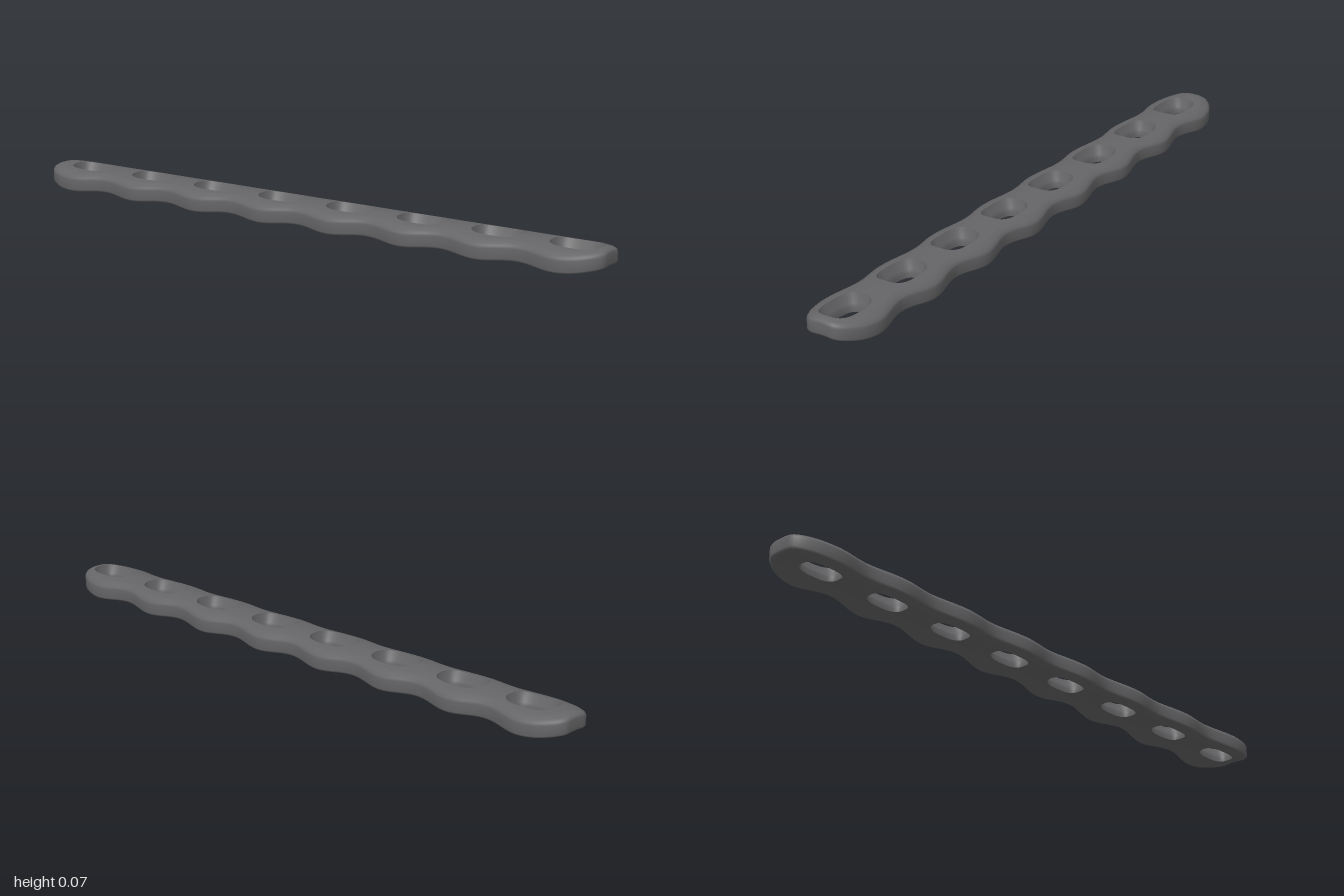
import * as THREE from 'three';
import { mergeVertices } from 'three/addons/utils/BufferGeometryUtils.js';

const HOLES = 8, PITCH = 2 / HOLES, SLOT_SHIFT = 0.022;
const EDGE = 28, SIDE = 12; // points along a scalloped edge and across the plate

// Arched cross-section
const top = z => 0.07 - 2 * z * z;
const bottom = z => 0.017 - 2.1 * z * z;

// Half width: a scallop round each hole, with rounded corners at both ends
function halfWidth(x) {
  const t = Math.min(1, Math.max(0, (Math.abs(x) - 0.92) / 0.08));
  return 0.09 - 0.01 * Math.cos((2 * Math.PI * x) / PITCH) - 0.05 * (1 - Math.sqrt(1 - t * t));
}

// Outline of one cell of the plate, counter-clockwise from above, inset by d
function outline(cell, d) {
  const x0 = -1 + cell * PITCH, x1 = x0 + PITCH;
  const a = cell === 0 ? x0 + d : x0;
  const b = cell === HOLES - 1 ? x1 - d : x1;
  const pts = [];
  const edge = (k, s) => {
    const u = (1 - Math.cos((Math.PI * k) / EDGE)) / 2;
    pts.push([a + (b - a) * u, s * (halfWidth(x0 + PITCH * u) - d)]);
  };
  const side = (x, xw, s) => {
    for (let k = 0; k < SIDE; k++) pts.push([x, s * (1 - (2 * k) / SIDE) * (halfWidth(xw) - d)]);
  };
  for (let k = 0; k < EDGE; k++) edge(k, 1);
  side(b, x1, 1);
  for (let k = EDGE; k > 0; k--) edge(k, -1);
  side(a, x0, -1);
  return pts;
}

// Rounded slot whose points line up with those of the outline
function slot(cell, length, width) {
  const cx = -1 + (cell + 0.5) * PITCH;
  const soft = v => Math.sign(v) * Math.pow(Math.abs(v), 0.7);
  return outline(cell, 0).map(([x, z]) => {
    const phi = Math.atan2(z / 0.08, (x - cx) / 0.125);
    return [cx + SLOT_SHIFT + length * soft(Math.cos(phi)), width * soft(Math.sin(phi))];
  });
}

const lift = (pts, y) => pts.map(([x, z]) => [x, y(z), z]);
const blend = (p, q, t) => p.map((v, i) => [v[0] + (q[i][0] - v[0]) * t, v[1] + (q[i][1] - v[1]) * t]);

// Joins successive closed rings with quads
function skin(out, rings, keep = () => true) {
  for (let r = 0; r + 1 < rings.length; r++) {
    const p = rings[r], q = rings[r + 1], n = p.length;
    for (let i = 0; i < n; i++) {
      if (!keep(i)) continue;
      const j = (i + 1) % n;
      out.push(...p[i], ...p[j], ...q[j], ...p[i], ...q[j], ...q[i]);
    }
  }
}

function smoothGeometry(positions) {
  const g = new THREE.BufferGeometry();
  g.setAttribute('position', new THREE.Float32BufferAttribute(positions, 3));
  const merged = mergeVertices(g, 1e-5);
  merged.computeVertexNormals();
  return merged;
}

export function createModel() {
  const group = new THREE.Group();
  group.name = 'slottedPlate';
  const metal = new THREE.MeshStandardMaterial({ color: 0x656567 });
  metal.name = 'darkGreyMetal';
  const add = (name, positions) => {
    const mesh = new THREE.Mesh(smoothGeometry(positions), metal);
    mesh.name = name;
    group.add(mesh);
  };

  const STEPS = [0, 0.2, 0.4, 0.6, 0.8, 1];
  const upper = [], lower = [];
  for (let c = 0; c < HOLES; c++) {
    const rim = slot(c, 0.078, 0.052), bore = slot(c, 0.065, 0.035);

    // Underside, from the bore to the outer edge
    const foot = outline(c, 0.01);
    skin(lower, STEPS.map(t => lift(blend(bore, foot, t), bottom)));

    // Rounded outer wall, left out where neighbouring cells meet
    const wall = [
      lift(foot, bottom),
      lift(outline(c, 0.004), z => bottom(z) + 0.003),
      lift(outline(c, 0), z => bottom(z) + 0.01),
      lift(outline(c, 0), z => top(z) - 0.014),
      lift(outline(c, 0.003), z => top(z) - 0.008),
      lift(outline(c, 0.01), z => top(z) - 0.003),
      lift(outline(c, 0.022), top),
    ];
    skin(upper, wall, i => {
      if (i < EDGE) return true;
      if (i < EDGE + SIDE) return c === HOLES - 1;
      if (i < 2 * EDGE + SIDE) return true;
      return c === 0;
    });

    // Arched top, from the outer edge to the countersink
    skin(upper, STEPS.map(t => lift(blend(outline(c, 0.022), rim, t), top)));

    // Countersunk slot running through the plate
    const hole = [];
    skin(hole, [
      lift(rim, top),
      lift(slot(c, 0.075, 0.047), z => top(z) - 0.012),
      lift(slot(c, 0.069, 0.04), () => 0.04),
      lift(bore, () => 0.031),
      lift(bore, bottom),
    ]);
    add('screwSlot' + (c + 1), hole);
  }
  // Wall, top and underside share one smooth surface
  add('plateBody', upper.concat(lower));
  return group;
}
